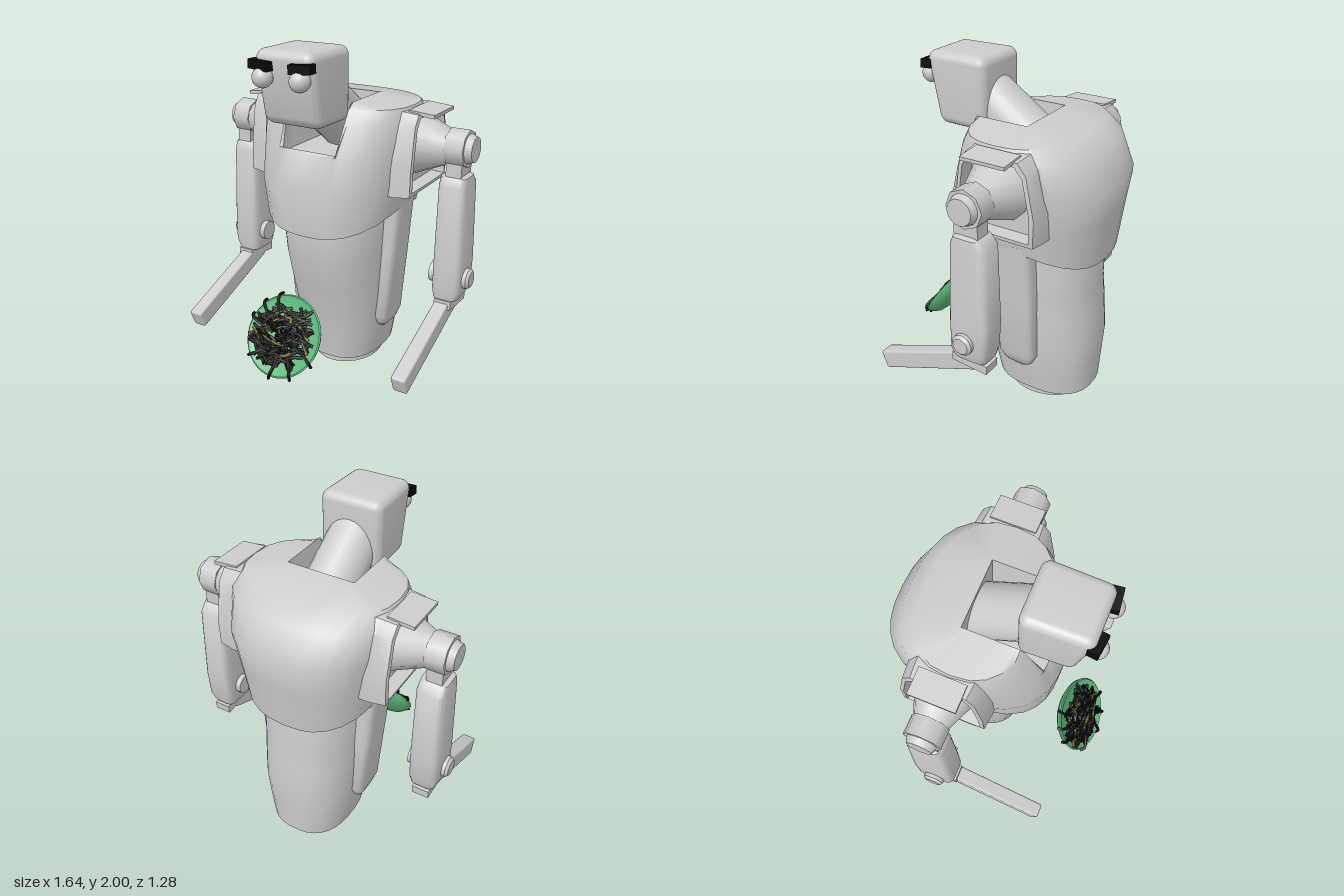
import * as THREE from 'three';
import { toCreasedNormals } from 'three/addons/utils/BufferGeometryUtils.js';
import { RoundedBoxGeometry } from 'three/addons/geometries/RoundedBoxGeometry.js';

const V = (x, y, z) => new THREE.Vector3(x, y, z);
const gray = new THREE.MeshStandardMaterial({ color: 0xcccccc, side: THREE.DoubleSide, name: 'lightGray' });
const black = new THREE.MeshStandardMaterial({ color: 0x0a0a0a, name: 'black' });
const green = new THREE.MeshStandardMaterial({ color: 0x5db87c, name: 'green' });
const olive = new THREE.MeshStandardMaterial({ color: 0x8a7a30, name: 'olive' });

function part(parent, name, geometry, material = gray) {
  const mesh = new THREE.Mesh(geometry, material);
  mesh.name = name;
  parent.add(mesh);
  return mesh;
}

// Skin over closed rings of points, with optional end caps
function loft(rings, capStart = true, capEnd = true, crease = 0.7) {
  const n = rings[0].length, pos = [], index = [];
  rings.forEach(r => r.forEach(p => pos.push(p.x, p.y, p.z)));
  for (let i = 0; i < rings.length - 1; i++) {
    for (let j = 0; j < n; j++) {
      const a = i * n + j, b = i * n + (j + 1) % n;
      index.push(a, b, b + n, a, b + n, a + n);
    }
  }
  const cap = (i, flip) => {
    const c = rings[i].reduce((s, p) => s.add(p), V(0, 0, 0)).divideScalar(n);
    const k = pos.length / 3;
    pos.push(c.x, c.y, c.z);
    for (let j = 0; j < n; j++) {
      const a = i * n + j, b = i * n + (j + 1) % n;
      index.push(...(flip ? [b, a, k] : [a, b, k]));
    }
  };
  if (capStart) cap(0, true);
  if (capEnd) cap(rings.length - 1, false);
  const g = new THREE.BufferGeometry();
  g.setAttribute('position', new THREE.Float32BufferAttribute(pos, 3));
  g.setIndex(index);
  return toCreasedNormals(g, crease);
}

const pow = (v, e) => Math.sign(v) * Math.abs(v) ** e;

// Horizontal superellipse ring between x0..x1 and zb..zf
function ring(y, x0, x1, zf, zb, e, n = 24) {
  return Array.from({ length: n }, (_, i) => {
    const t = ((i + 0.5) / n) * Math.PI * 2;
    return V((x0 + x1) / 2 + (x1 - x0) / 2 * pow(Math.sin(t), e), y,
      (zf + zb) / 2 + (zf - zb) / 2 * pow(Math.cos(t), e));
  });
}

// Chest shell: hem to collar, the front columns stop low to leave the neck notch
function chestGeometry() {
  const half = [0, 9, 18, 21, 32, 45, 60, 75, 90, 105, 120, 135, 148, 160, 170, 180];
  const angles = [...half, ...half.slice(1, -1).reverse().map(a => -a)];
  const levels = [[1.08, 0.4, 0.3, -0.587], [1.23, 0.43, 0.32, -0.62], [1.42, 0.45, 0.265, -0.645],
    [1.59, 0.47, 0.2, -0.555], [1.665, 0.44, 0.16, -0.46]];
  const rings = levels.map(([y, hx, zf, zb], k) => angles.map(a => {
    const t = a * Math.PI / 180, s = Math.sin(t), c = Math.cos(t);
    if (k > 2 && Math.abs(a) < 20) return V(0.45 * pow(s, 0.8), 1.435, 0.25);
    const hem = k === 0 ? 0.125 * Math.abs(c) ** 1.3 : 0;
    return V(hx * pow(s, 0.8), y - hem, (zf + zb) / 2 + (zf - zb) / 2 * pow(c, 0.8));
  }));
  const collar = (y, shrink) => angles.map(a => {
    const t = a * Math.PI / 180, front = Math.abs(a) < 20;
    const x = front ? 0.45 * pow(Math.sin(t), 0.8) : THREE.MathUtils.clamp(0.6 * Math.sin(t), -0.2, 0.2);
    return V(x * shrink, Math.min(y, front ? 1.435 : 9), front ? 0.25 : Math.max(-0.19, -0.1 + 0.24 * Math.cos(t)));
  });
  rings.push(collar(1.7, 1), collar(1.4, 0.9));
  return loft(rings, false, true, 0.8);
}

// Shoulder opening: chamfered trapezoid section swept along x, with a recessed panel
function sleeveGeometry() {
  const outline = [[0.05, 1.2], [0.045, 1.35], [0.01, 1.58], [-0.03, 1.64], [-0.33, 1.64],
    [-0.38, 1.58], [-0.425, 1.35], [-0.42, 1.2]];
  const steps = [[0.32, 1.05], [0.43, 1.04], [0.52, 1], [0.525, 0.9], [0.45, 0.86]];
  return loft(steps.map(([x, k]) => outline.map(([z, y]) =>
    V(x, 1.42 + (y - 1.42) * k, -0.19 + (z + 0.19) * k))), false, true, 0.5);
}

// Cylinder lying along x
function rod(r0, r1, x0, x1, y, z, sides) {
  return new THREE.CylinderGeometry(r1, r0, x1 - x0, sides)
    .rotateZ(-Math.PI / 2).translate((x0 + x1) / 2, y, z);
}

// Everything on one side of the body; built on +x
function buildSide() {
  const side = new THREE.Group();
  part(side, 'sidePad', loft([[0.25, 0.28, -0.16, -0.23], [0.29, 0.315, -0.11, -0.285], [0.35, 0.335, -0.08, -0.315],
    [0.75, 0.37, -0.075, -0.315], [1.1, 0.4, -0.07, -0.31]].map(([y, x, zf, zb]) => ring(y, 0.18, x, zf, zb, 0.35, 20))));
  part(side, 'sleeve', sleeveGeometry());
  const flap = part(side, 'shoulderFlap', new THREE.BoxGeometry(0.15, 0.02, 0.26));
  flap.position.set(0.525, 1.64, -0.18);
  flap.rotation.z = -0.08;
  part(side, 'shoulderCone', toCreasedNormals(rod(0.18, 0.095, 0.45, 0.65, 1.45, -0.18, 12), 0.6));
  part(side, 'shoulderJoint', rod(0.105, 0.105, 0.645, 0.755, 1.455, -0.18, 8).toNonIndexed());
  part(side, 'shoulderCap', rod(0.085, 0.07, 0.75, 0.793, 1.455, -0.18, 16));
  part(side, 'armHanger', new THREE.BoxGeometry(0.09, 0.2, 0.14).translate(0.7, 1.38, -0.18));

  // Upper arm, elbow and forearm
  part(side, 'upperArm', loft([[0.58, 0.62, 0.765, -0.08, -0.28], [0.64, 0.612, 0.785, -0.07, -0.3],
    [0.8, 0.612, 0.785, -0.07, -0.312], [1.25, 0.615, 0.775, -0.085, -0.3], [1.3, 0.62, 0.77, -0.105, -0.26],
    [1.31, 0.64, 0.75, -0.12, -0.24]].map(([y, x0, x1, zf, zb]) => ring(y, x0, x1, zf, zb, 0.4, 20))));
  part(side, 'elbowPin', rod(0.06, 0.06, 0.58, 0.805, 0.7, -0.175, 16));
  part(side, 'elbowPinCap', rod(0.06, 0.045, 0.805, 0.82, 0.7, -0.175, 16));
  part(side, 'elbowKnuckle', rod(0.05, 0.05, 0.65, 0.74, 0.57, -0.19, 14));
  const plate = part(side, 'elbowPlate', new THREE.BoxGeometry(0.1, 0.05, 0.22));
  plate.position.set(0.695, 0.548, -0.175);
  plate.rotation.x = -0.08;
  const from = V(0.688, 0.555, -0.19), to = V(0.688, 0.305, 0.45);
  const forearm = part(side, 'forearm', new RoundedBoxGeometry(0.085, 0.108, from.distanceTo(to), 2, 0.012));
  forearm.position.copy(from).lerp(to, 0.5);
  forearm.lookAt(to);
  return side;
}

function buildHead() {
  const head = new THREE.Group();
  head.name = 'head';
  // Rounded block whose face slopes back towards the chin
  const g = new RoundedBoxGeometry(0.365, 0.4, 0.38, 5, 0.05);
  const p = g.attributes.position;
  for (let i = 0; i < p.count; i++) {
    const y = p.getY(i), z = p.getZ(i);
    const f = THREE.MathUtils.clamp((z + 0.1) / 0.29, 0, 1);
    if (y < 0.02) p.setZ(i, z - f * (0.02 - y) * 0.38);
    p.setX(i, p.getX(i) * (1 - 0.05 * f));
  }
  g.translate(0, 1.798, 0.28);
  part(head, 'skull', toCreasedNormals(g, 0.8));
  for (const s of [1, -1]) {
    part(head, 'eye', new THREE.SphereGeometry(0.055, 24, 16).translate(s * 0.112, 1.86, 0.476));
    const brow = part(head, 'eyebrow', new THREE.BoxGeometry(0.125, 0.048, 0.06), black);
    brow.position.set(s * 0.122, 1.922, 0.473);
    brow.rotation.set(0, s * 0.12, s * 0.06);
  }
  // Slanted neck running down into the collar
  const a = V(0, 1.42, -0.28), b = V(0, 1.76, 0.18);
  const neck = part(head, 'neck', new THREE.CylinderGeometry(0.145, 0.158, a.distanceTo(b), 24));
  neck.position.copy(a).lerp(b, 0.5);
  neck.quaternion.setFromUnitVectors(V(0, 1, 0), b.clone().sub(a).normalize());
  return head;
}

// Tilted plate with a heap of strands
function buildPlate() {
  const dish = new THREE.Group();
  dish.name = 'plateOfNoodles';
  const profile = [[0, -0.078], [0.12, -0.074], [0.19, -0.055], [0.225, -0.025], [0.236, 0],
    [0.228, 0.006], [0.21, -0.005], [0, -0.015]].map(([x, y]) => new THREE.Vector2(x, y));
  part(dish, 'plate', toCreasedNormals(new THREE.LatheGeometry(profile, 40), 0.7), green);
  let seed = 7;
  const rnd = () => (seed = (seed * 16807) % 2147483647) / 2147483647;
  const strand = (points, m) => part(dish, 'noodle',
    new THREE.TubeGeometry(new THREE.CatmullRomCurve3(points), 10, 0.009, 5), m);
  for (let i = 0; i < 150; i++) {
    const r = 0.165 * Math.sqrt(rnd()), t = rnd() * Math.PI * 2, dir = (rnd() - 0.5) * 2.2;
    const h = 0.03 * (1 - r / 0.25), len = 0.05 + rnd() * 0.06;
    const points = [-1, -0.35, 0.35, 1].map((k, j) => V(
      r * Math.cos(t) - 0.01 + k * len * Math.cos(dir) * 0.7 + (rnd() - 0.5) * 0.02,
      j % 3 ? h * (0.5 + rnd() * 0.6) : 0.002 + rnd() * 0.012,
      r * Math.sin(t) * 0.95 + k * len * Math.sin(dir) * 0.6 + (rnd() - 0.5) * 0.03));
    strand(points, i % 9 === 4 ? olive : black);
  }
  // Strands hanging over the rim
  for (const t of [0.35, 0.95, 1.5, 2.3, 3.3, 3.75, 4.2]) {
    strand([[0.14, 0.015], [0.19, 0.02], [0.235, 0.014], [0.25, -0.012]].map(([r, y], j) =>
      V(r * Math.cos(t + j * 0.05), y, r * Math.sin(t + j * 0.05))), black);
  }
  dish.position.set(-0.015, 0.415, 0.49);
  dish.rotation.x = 0.985;
  return dish;
}

export function createModel() {
  const model = new THREE.Group();
  model.name = 'robot';

  // Hollow foot ring
  const foot = [[0, 0.05], [0.85, 0.04], [0.92, 0], [1, 0.008], [1, 0.085]].map(([x, y]) => new THREE.Vector2(x, y));
  part(model, 'foot', toCreasedNormals(new THREE.LatheGeometry(foot, 32).scale(0.203, 1, 0.24).translate(0, 0, -0.235), 0.6));

  // Lower body
  part(model, 'body', loft([[0.07, 0.24, 0.055, -0.545], [0.25, 0.27, 0.085, -0.555], [0.41, 0.285, 0.12, -0.566],
    [0.6, 0.295, 0.172, -0.55], [0.76, 0.302, 0.212, -0.534], [1.02, 0.315, 0.24, -0.534], [1.15, 0.3, 0.2, -0.5]]
    .map(([y, x, zf, zb]) => ring(y, -x, x, zf, zb, 0.8, 32))));
  part(model, 'chest', chestGeometry());

  const left = buildSide(), right = buildSide();
  left.name = 'leftSide';
  right.name = 'rightSide';
  right.scale.x = -1;
  model.add(left, right, buildHead(), buildPlate());
  return model;
}
